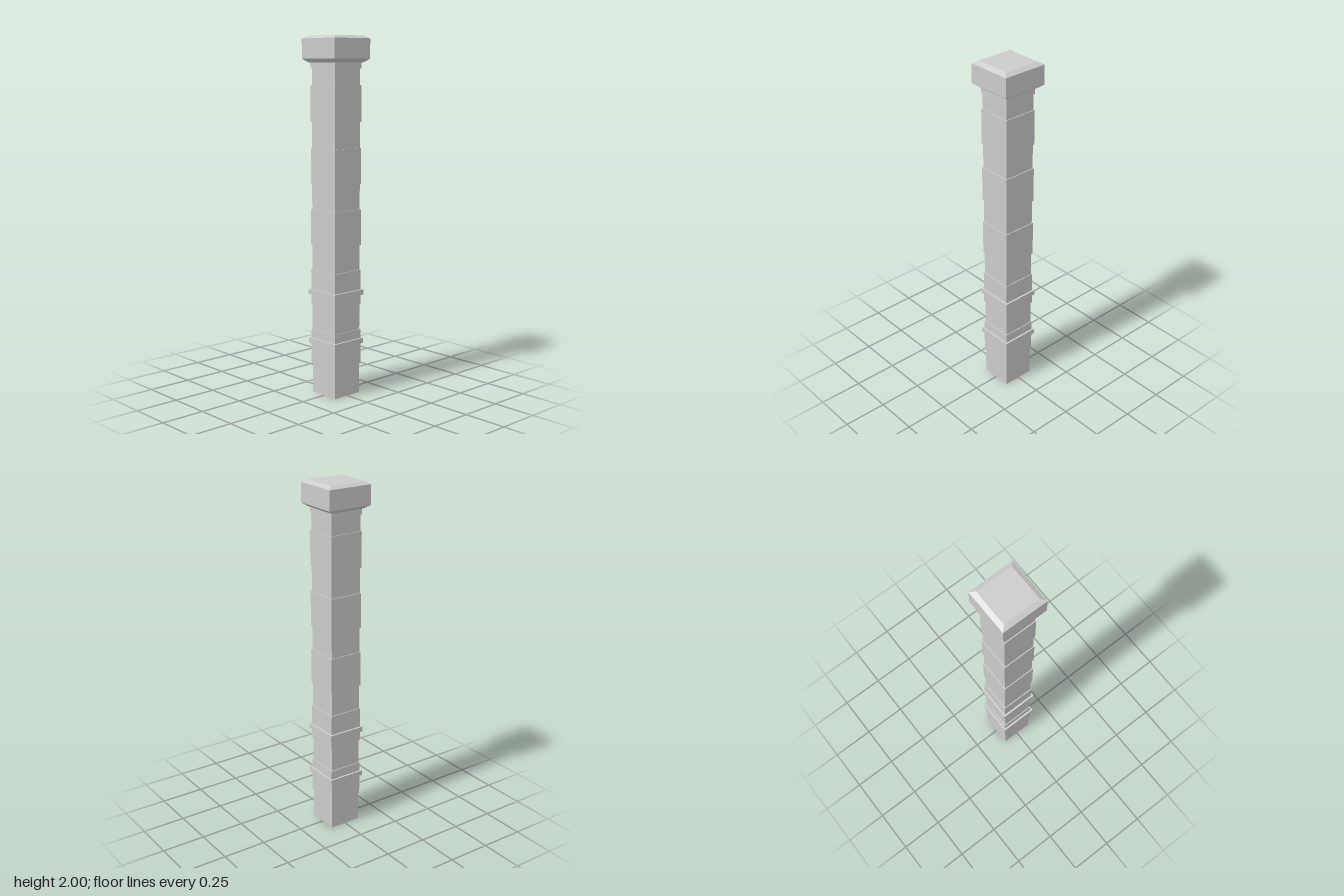
import * as THREE from 'three';

const material = new THREE.MeshStandardMaterial({ color: 0xcccccc, flatShading: true });

// Square solid swept through [halfWidth, y] points, bottom to top
function squareProfile(name, profile) {
  const points = profile.map(([half, y]) => new THREE.Vector2(half * Math.SQRT2, y));
  const mesh = new THREE.Mesh(new THREE.LatheGeometry(points, 4, Math.PI / 4), material);
  mesh.name = name;
  return mesh;
}

export function createModel() {
  const group = new THREE.Group();
  group.name = 'squarePillar';

  // Shaft: narrow core with evenly repeated, slightly wider blocks
  const narrow = 0.093, wide = 0.098, period = 0.341;
  const shaft = [[0, 0], [narrow, 0]];
  for (let i = 0; i < 5; i++) {
    const bottom = 0.17 + i * period, top = bottom + 0.2;
    shaft.push([narrow, bottom], [wide, bottom], [wide, top], [narrow, top]);
  }
  // Neck block under the cap
  shaft.push([narrow, 1.825], [wide, 1.825], [wide, 1.86], [0, 1.86]);
  group.add(squareProfile('shaft', shaft));

  // Trim bands around the lower shaft
  [['lowerBand', 0.304], ['upperBand', 0.584]].forEach(([name, y]) => {
    const band = new THREE.Mesh(new THREE.BoxGeometry(0.218, 0.029, 0.218), material);
    band.name = name;
    band.position.y = y;
    group.add(band);
  });

  // Cap with chamfered top and underside
  group.add(squareProfile('cap', [
    [0, 1.857], [0.105, 1.857], [0.131, 1.876], [0.131, 1.985], [0.105, 2], [0, 2],
  ]));

  return group;
}
